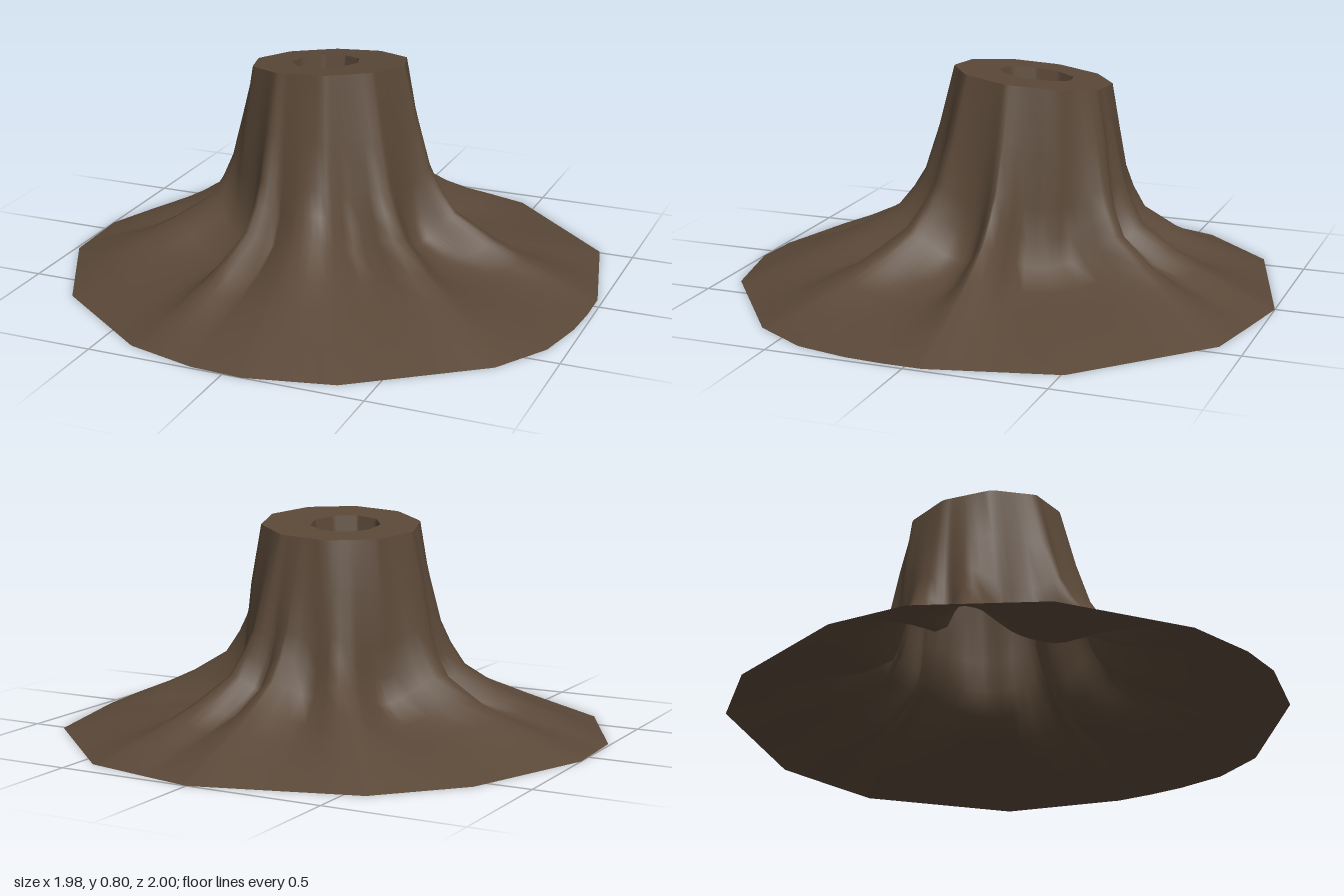
import * as THREE from 'three';

// Skirt outline on the ground as [x, z], starting at the back
const RIM = [[0, -1], [0.2, -0.96], [0.44, -0.91], [0.87, -0.51], [0.98, -0.06], [0.98, 0.08],
  [0.97, 0.22], [0.93, 0.41], [0.81, 0.61], [0.38, 0.93], [0.07, 1], [-0.12, 0.99],
  [-0.38, 0.92], [-0.78, 0.63], [-0.99, 0.22], [-1, -0.07], [-0.82, -0.56], [-0.57, -0.83]];

// Roots as [angle, half width] in degrees, from +x towards +z
const ROOTS = [[-5, 9], [40, 13], [80, 22], [108, 9], [160, 12], [190, 16], [240, 14], [270, 14], [293, 12]];

// Profiles as [radius, height]: along a root and between two roots
const RIDGE = [[0.29, 0.77], [0.34, 0.58], [0.385, 0.42], [0.425, 0.34], [0.48, 0.26], [0.62, 0.175], [0.73, 0.12], [0.87, 0.06], [1, 0]];
const VALLEY = [[0.29, 0.77], [0.325, 0.56], [0.345, 0.36], [0.355, 0.25], [0.39, 0.16], [0.5, 0.1], [0.66, 0.075], [0.84, 0.045], [1, 0]];

const SUB = 6;
const TOP = [-0.06, -0.065];
const lerp = THREE.MathUtils.lerp;

// Slightly tilted cut
const cutY = (x, z) => 0.772 + 0.06 * (x - TOP[0]) + 0.095 * (z - TOP[1]);

// Radius factor of a regular polygon at an angle
function facet(a, n) {
  const s = 2 * Math.PI / n;
  const d = ((a % s) + s) % s - s / 2;
  return Math.cos(s / 2) / Math.cos(d);
}

function rootWeight(a) {
  let w = 0;
  for (const [deg, width] of ROOTS) {
    let d = a * 180 / Math.PI - deg;
    d = Math.abs(((d + 540) % 360 + 360) % 360 - 180);
    w = Math.max(w, Math.exp(-Math.pow(d / width, 2)));
  }
  return w;
}

// Skin closed rings of equal point count
function loft(rings) {
  const n = rings[0].length, idx = [];
  for (let r = 0; r < rings.length - 1; r++) {
    for (let i = 0; i < n; i++) {
      const j = (i + 1) % n;
      const a = r * n + i, b = r * n + j, c = a + n, d = b + n;
      idx.push(a, b, c, b, d, c);
    }
  }
  const g = new THREE.BufferGeometry();
  g.setAttribute('position', new THREE.Float32BufferAttribute(rings.flat(2), 3));
  g.setIndex(idx);
  g.computeVertexNormals();
  return g;
}

export function createModel() {
  const group = new THREE.Group();
  const wood = new THREE.MeshStandardMaterial({ color: 0x5a4838, side: THREE.DoubleSide });
  wood.name = 'darkWood';
  const add = (name, rings) => {
    const m = new THREE.Mesh(loft(rings), wood);
    m.name = name;
    group.add(m);
  };

  // Columns evenly spaced along each straight side of the skirt
  const cols = [];
  RIM.forEach((p, k) => {
    const q = RIM[(k + 1) % RIM.length];
    for (let s = 0; s < SUB; s++) {
      const x = lerp(p[0], q[0], s / SUB), z = lerp(p[1], q[1], s / SUB);
      const a = Math.atan2(z, x);
      cols.push({ a, rim: Math.hypot(x, z), w: rootWeight(a) });
    }
  });

  // Trunk flaring into roots and a hollow skirt
  const bark = RIDGE.map((ridge, k) => {
    const valley = VALLEY[k];
    const t = k / (RIDGE.length - 1);
    return cols.map(({ a, rim, w }) => {
      const r0 = lerp(valley[0], ridge[0], w);
      const r = r0 * lerp(facet(a, 10), rim, t);
      const x = lerp(TOP[0], 0, t) + Math.cos(a) * r;
      const z = lerp(TOP[1], 0, t) + Math.sin(a) * r;
      return [x, k === 0 ? cutY(x, z) : lerp(valley[1], ridge[1], w), z];
    });
  });
  add('trunkAndRoots', bark);

  // Small hollow in the cut face
  const holeRing = (scale, depth) => cols.map(({ a }) => {
    const r = scale * facet(a, 9);
    const x = -0.08 + Math.cos(a) * 0.125 * r, z = -0.07 + Math.sin(a) * 0.14 * r;
    return [x, cutY(x, z) - depth, z];
  });
  add('cutFace', [holeRing(1, 0), bark[0]]);
  add('hollowWall', [holeRing(0.85, 0.12), holeRing(1, 0)]);
  add('hollowFloor', [holeRing(0.001, 0.12), holeRing(0.85, 0.12)]);

  return group;
}
